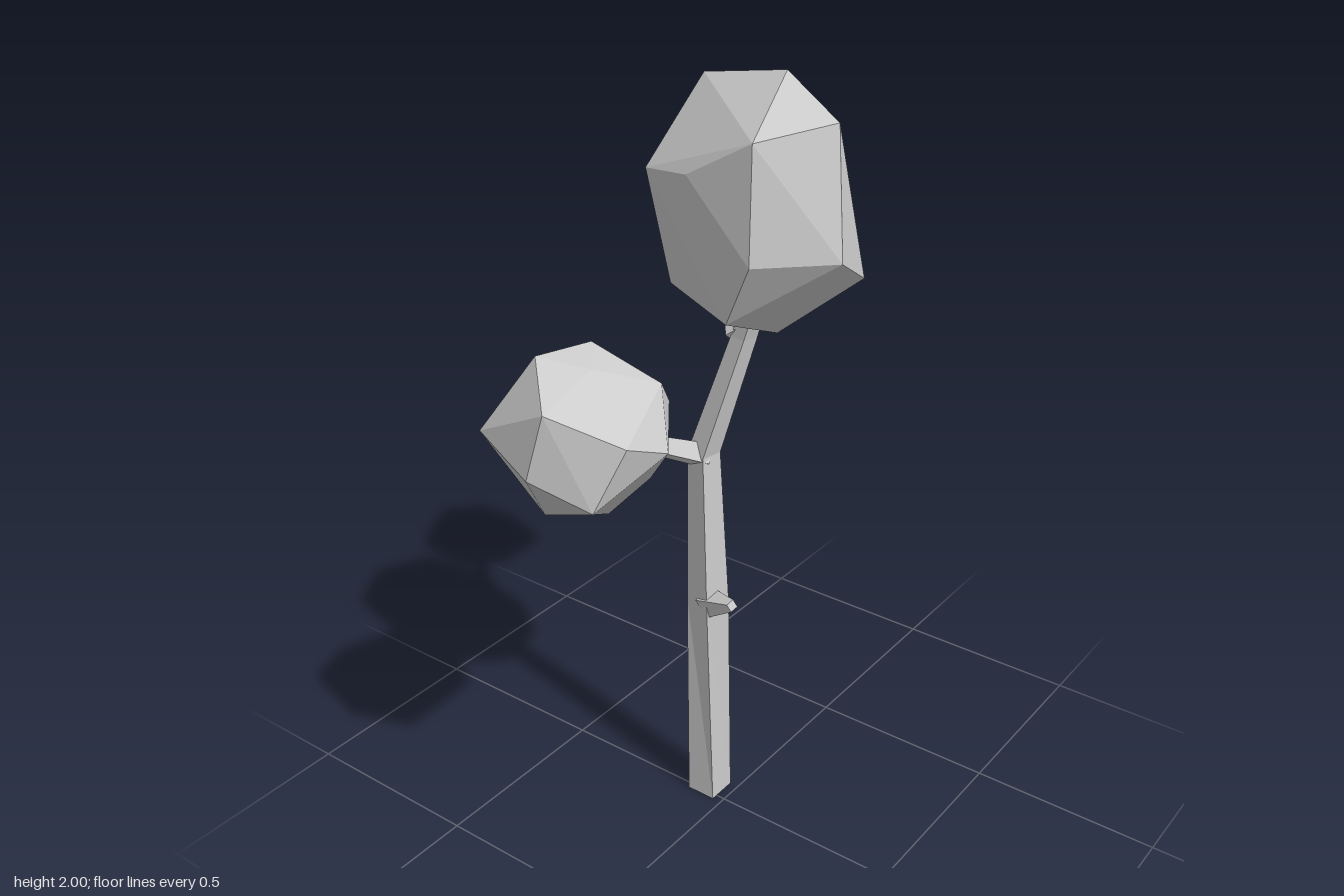
import * as THREE from 'three';
import { ConvexGeometry } from 'three/addons/geometries/ConvexGeometry.js';

const material = new THREE.MeshStandardMaterial({ color: 0xcccccc, flatShading: true });
const UP = new THREE.Vector3(0, 1, 0);

// Four-sided limb through stations [x, y, z, halfWidth, twist]
function limb(name, stations) {
  const centres = stations.map(([x, y, z]) => new THREE.Vector3(x, y, z));
  const axis = centres[centres.length - 1].clone().sub(centres[0]).normalize();
  const turn = new THREE.Quaternion();
  if (stations.length === 2) turn.setFromUnitVectors(UP, axis);
  const positions = [], index = [];
  stations.forEach(([, , , half, twist = 0], s) => {
    for (let i = 0; i < 4; i++) {
      const a = Math.PI / 4 + i * Math.PI / 2 - twist;
      const r = half * Math.SQRT2;
      const p = new THREE.Vector3(Math.cos(a) * r, 0, Math.sin(a) * r);
      positions.push(...p.applyQuaternion(turn).add(centres[s]).toArray());
      if (s > 0) {
        const j = (i + 1) % 4, lo = (s - 1) * 4, hi = s * 4;
        index.push(lo + i, hi + i, hi + j, lo + i, hi + j, lo + j);
      }
    }
  });
  // end caps
  const t = (stations.length - 1) * 4;
  index.push(0, 1, 2, 0, 2, 3, t, t + 2, t + 1, t, t + 3, t + 2);
  const geometry = new THREE.BufferGeometry();
  geometry.setAttribute('position', new THREE.Float32BufferAttribute(positions, 3));
  geometry.setIndex(index);
  geometry.computeVertexNormals();
  const mesh = new THREE.Mesh(geometry, material);
  mesh.name = name;
  return mesh;
}

// Faceted leaf clump: the hull of a few corner points
function clump(name, corners) {
  const geometry = new ConvexGeometry(corners.map((c) => new THREE.Vector3(...c)));
  const mesh = new THREE.Mesh(geometry, material);
  mesh.name = name;
  return mesh;
}

export function createModel() {
  const tree = new THREE.Group();
  tree.name = 'tree';

  // Trunk with a bend, side branches and a broken stub
  tree.add(
    limb('trunk', [
      [0.023, 0, -0.065, 0.04, 0],
      [0.022, 0.6, -0.067, 0.037, -0.2],
      [0.017, 1.02, -0.073, 0.028, -0.2],
      [0.057, 1.33, 0.015, 0.022, -0.2],
      [0.062, 1.53, 0.08, 0.015, -0.2],
    ]),
    limb('rightBranch', [[0.02, 1.01, -0.07, 0.025], [-0.15, 1.09, -0.185, 0.016]]),
    limb('leftBranch', [[0.055, 1.33, 0.005, 0.024], [0.25, 1.48, -0.17, 0.014]]),
    limb('stub', [[0.01, 0.6, -0.055, 0.028], [-0.024, 0.645, 0.042, 0.011]]),
  );

  // Leaf clumps
  tree.add(
    clump('topFoliage', [
      [-0.09, 2, 0.22], [-0.07, 1.96, 0], [-0.09, 1.915, 0.345], [-0.25, 1.895, 0.25],
      [0.135, 1.83, 0.19], [0.12, 1.815, -0.035], [-0.24, 1.8, 0.08], [-0.2, 1.78, -0.055],
      [-0.03, 1.63, -0.11], [-0.13, 1.645, 0.388], [-0.272, 1.65, 0.26], [0.02, 1.56, 0.35],
      [0.125, 1.535, 0.2], [0.11, 1.56, -0.03], [-0.24, 1.5, 0.18], [-0.18, 1.53, -0.01],
      [-0.095, 1.44, 0.21], [-0.01, 1.44, 0],
    ]),
    clump('leftFoliage', [
      [0.37, 1.74, -0.255], [0.285, 1.71, -0.24], [0.37, 1.715, -0.135], [0.495, 1.66, -0.265],
      [0.405, 1.65, -0.365], [0.31, 1.57, -0.39], [0.455, 1.55, -0.345], [0.522, 1.56, -0.205],
      [0.48, 1.47, -0.105], [0.415, 1.535, -0.065], [0.235, 1.61, -0.1], [0.19, 1.6, -0.29],
      [0.19, 1.53, -0.15], [0.33, 1.365, -0.27], [0.48, 1.42, -0.22], [0.3, 1.42, -0.14],
    ]),
    clump('rightFoliage', [
      [-0.4, 1.385, -0.21], [-0.25, 1.375, -0.18], [-0.34, 1.36, -0.105], [-0.505, 1.315, -0.1],
      [-0.525, 1.155, -0.14], [-0.47, 1.2, -0.325], [-0.32, 1.18, -0.385], [-0.15, 1.28, -0.245],
      [-0.12, 1.1, -0.235], [-0.135, 1.22, -0.055], [-0.205, 1.3, -0.02], [-0.28, 1.18, 0.055],
      [-0.395, 1.23, 0.035], [-0.41, 1, -0.2], [-0.295, 0.98, -0.11], [-0.3, 1.005, -0.315],
      [-0.45, 1.08, -0.02], [-0.19, 1.04, -0.07],
    ]),
  );
  return tree;
}
